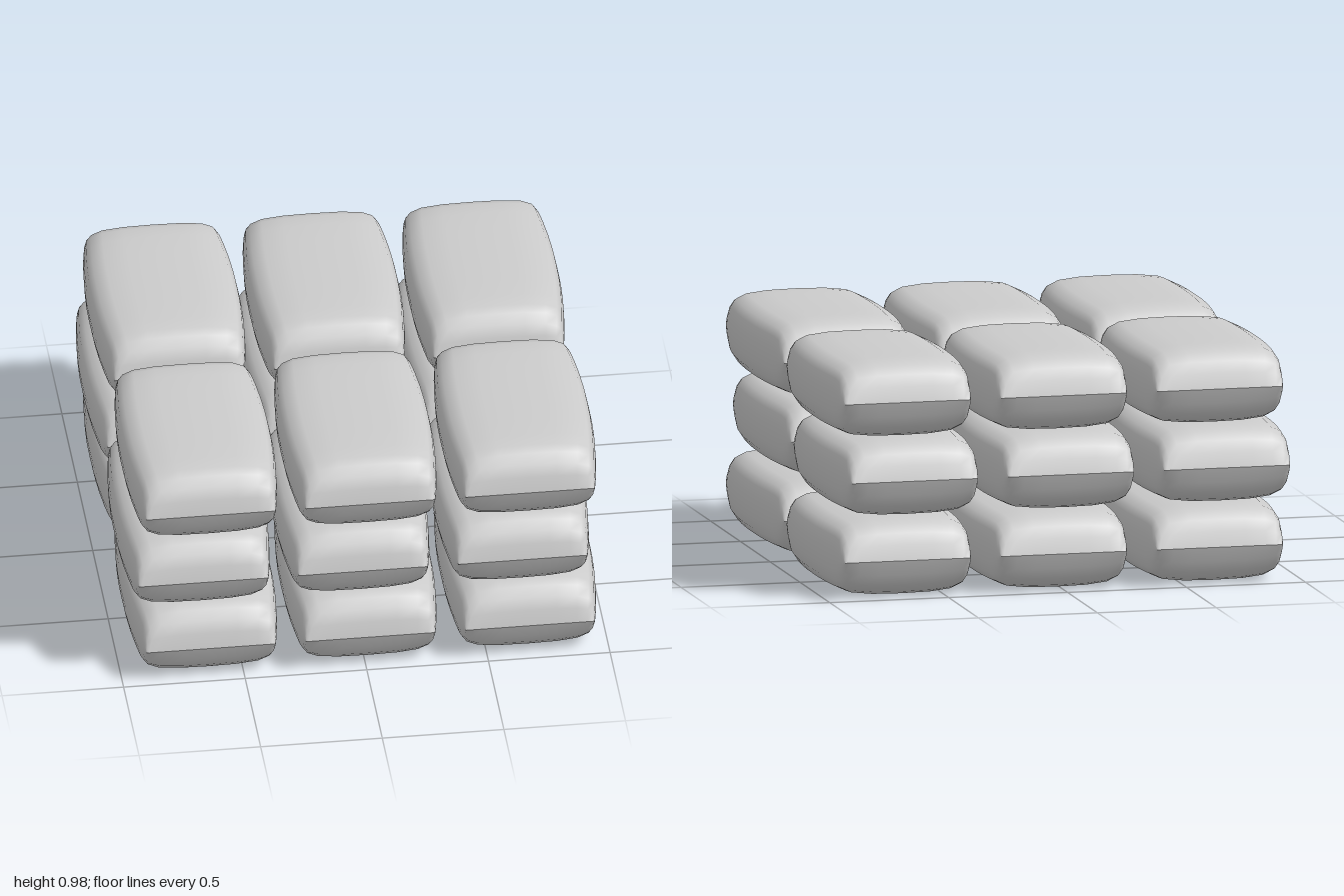
import * as THREE from 'three';

// Quarter of the sack's cross-section, from side seam to top centre (unit half-width, half-height)
const QUARTER = [[1, 0], [0.99, 0.3], [0.96, 0.58], [0.89, 0.78], [0.73, 0.92], [0.42, 0.985], [0, 1]];

// Stations from the middle to the pinched end: z, half-width, half-height
const HALF = [
  [0, 0.31, 0.16], [0.1, 0.309, 0.16], [0.2, 0.304, 0.16], [0.3, 0.295, 0.159], [0.37, 0.287, 0.155],
  [0.41, 0.281, 0.141], [0.445, 0.275, 0.108], [0.47, 0.27, 0.062], [0.49, 0.265, 0],
];

// Closed ring by mirroring the quarter into all four quadrants
function sectionRing() {
  const back = QUARTER.slice(0, -1).reverse().map(([u, v]) => [-u, v]);
  const upper = [...QUARTER, ...back];
  const lower = upper.slice(1, -1).reverse().map(([u, v]) => [u, -v]);
  return [...upper, ...lower];
}

// Pillow-shaped sack lofted along z, flattened to a horizontal seam at both ends
function sackGeometry() {
  const ring = sectionRing();
  const n = ring.length;
  const stations = [...HALF.slice(1).reverse().map(([z, w, h]) => [-z, w, h]), ...HALF];
  const positions = [];
  const indices = [];
  stations.forEach(([z, w, h], i) => {
    ring.forEach(([u, v], j) => {
      positions.push(u * w, v * h, z);
      if (i === stations.length - 1) return;
      const a = i * n + j;
      const b = i * n + (j + 1) % n;
      indices.push(a, b, b + n, a, b + n, a + n);
    });
  });
  const geometry = new THREE.BufferGeometry();
  geometry.setAttribute('position', new THREE.Float32BufferAttribute(positions, 3));
  geometry.setIndex(indices);
  geometry.computeVertexNormals();
  return geometry;
}

export function createModel() {
  const model = new THREE.Group();
  model.name = 'sackStack';
  const material = new THREE.MeshStandardMaterial({ color: 0xcccccc });
  const geometry = sackGeometry();

  // Three layers of 3 x 2 sacks, the middle layer shifted sideways
  for (let layer = 0; layer < 3; layer++) {
    const group = new THREE.Group();
    group.name = `sackLayer${layer + 1}`;
    group.position.set(layer === 1 ? -0.015 : 0.015, 0.17 + layer * 0.3275, 0);
    for (let column = -1; column <= 1; column++) {
      for (const side of [-1, 1]) {
        const sack = new THREE.Mesh(geometry, material);
        sack.name = 'sack';
        sack.position.set(column * 0.656, 0, side * 0.51);
        group.add(sack);
      }
    }
    model.add(group);
  }
  return model;
}
